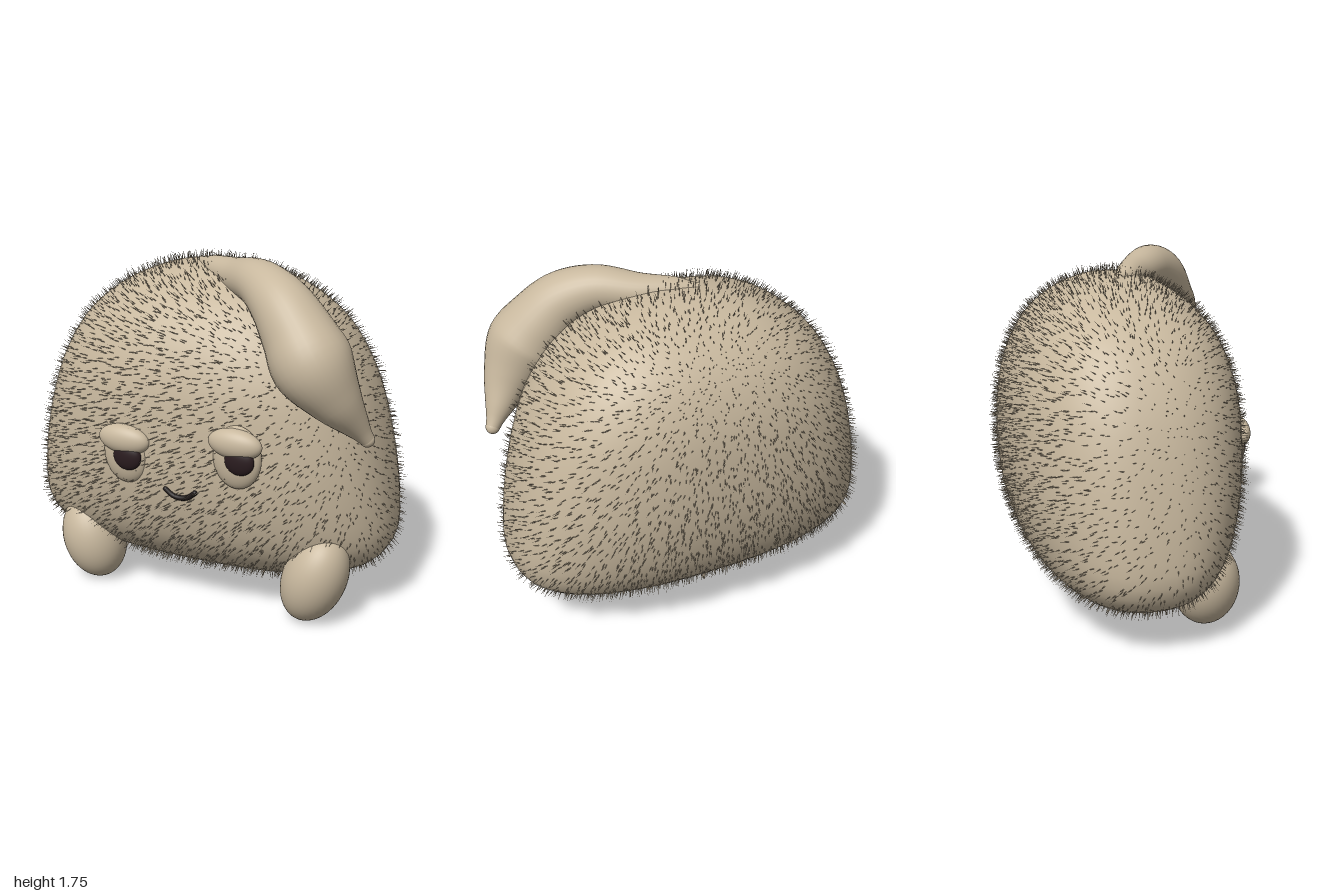
import * as THREE from 'three';
import { mergeGeometries, mergeVertices } from 'three/addons/utils/BufferGeometryUtils.js';

const mat = (name, color) => {
  const m = new THREE.MeshStandardMaterial({ color });
  m.name = name;
  return m;
};

// Small seeded random generator
function makeRandom(seed) {
  return () => {
    seed = (seed * 1664525 + 1013904223) % 4294967296;
    return seed / 4294967296;
  };
}

// Weld seams and give smooth normals
function smooth(geometry) {
  geometry.deleteAttribute('uv');
  geometry.deleteAttribute('normal');
  const g = mergeVertices(geometry, 1e-4);
  g.computeVertexNormals();
  return g;
}

// Body: stacked rounded-oval rings following half-width, height, half-depth
function bodyGeometry() {
  const profile = new THREE.CatmullRomCurve3([
    [0, 1.675, 0], [0.13, 1.67, 0.09], [0.29, 1.635, 0.2], [0.48, 1.55, 0.34], [0.66, 1.4, 0.47],
    [0.785, 1.2, 0.55], [0.86, 1.0, 0.578], [0.92, 0.75, 0.578], [0.95, 0.55, 0.548],
    [0.957, 0.4, 0.5], [0.925, 0.31, 0.445], [0.85, 0.24, 0.375], [0.7, 0.18, 0.28],
    [0.48, 0.14, 0.16], [0, 0.125, 0],
  ].map((p) => new THREE.Vector3(...p)));
  const cols = 72, rows = 48;
  const g = new THREE.SphereGeometry(1, cols, rows);
  const pos = g.attributes.position;
  const round = (v) => Math.sign(v) * Math.abs(v) ** 0.82;
  for (let iy = 0; iy <= rows; iy++) {
    const p = profile.getPointAt(iy / rows);
    for (let ix = 0; ix <= cols; ix++) {
      const a = (ix % cols) / cols * Math.PI * 2;
      pos.setXYZ(iy * (cols + 1) + ix, -p.x * round(Math.cos(a)), p.y, p.z * round(Math.sin(a)) - 0.01);
    }
  }
  return smooth(g);
}

// Fur: thin spikes scattered by area, sparser on the flanks, leaning sideways around the body
function furGeometry(body, density) {
  const rand = makeRandom(7);
  const pos = body.attributes.position, index = body.index;
  const spike = new THREE.ConeGeometry(0.0028, 1, 3, 1, true).translate(0, 0.5, 0);
  spike.deleteAttribute('uv');
  const up = new THREE.Vector3(0, 1, 0);
  const tri = new THREE.Triangle(), n = new THREE.Vector3(), dir = new THREE.Vector3();
  const at = new THREE.Vector3(), q = new THREE.Quaternion(), m = new THREE.Matrix4();
  const hairs = [];
  for (let f = 0; f < index.count; f += 3) {
    tri.setFromAttributeAndIndices(pos, index.getX(f), index.getX(f + 1), index.getX(f + 2));
    tri.getNormal(n);
    const count = Math.floor(tri.getArea() * density * (1 - 0.5 * Math.abs(n.x)) + rand());
    for (let i = 0; i < count; i++) {
      let u = rand(), v = rand();
      if (u + v > 1) { u = 1 - u; v = 1 - v; }
      at.set(0, 0, 0).addScaledVector(tri.a, u).addScaledVector(tri.b, v).addScaledVector(tri.c, 1 - u - v);
      dir.set(-n.z, -0.1, n.x).multiplyScalar(0.55).add(n);
      dir.x += (rand() - 0.5) * 0.4;
      dir.y += (rand() - 0.5) * 0.4;
      dir.z += (rand() - 0.5) * 0.4;
      q.setFromUnitVectors(up, dir.normalize());
      at.addScaledVector(n, -0.004);
      m.compose(at, q, new THREE.Vector3(1, 0.035 + rand() * 0.02, 1));
      hairs.push(spike.clone().applyMatrix4(m));
    }
  }
  return mergeGeometries(hairs);
}

// Drooping horn: a tube whose radius swells and tapers; each row is x, y, z, radius
function hornGeometry() {
  const rows = [
    [-0.1, 1.665, -0.01, 0.02], [0.0, 1.65, 0.05, 0.06], [0.16, 1.64, 0.13, 0.088],
    [0.34, 1.64, 0.25, 0.115], [0.48, 1.57, 0.335, 0.145], [0.58, 1.46, 0.38, 0.17],
    [0.67, 1.33, 0.41, 0.19], [0.77, 1.18, 0.385, 0.13], [0.85, 1.055, 0.33, 0.07],
    [0.9, 0.975, 0.295, 0.036],
  ];
  const path = new THREE.CatmullRomCurve3(rows.map((r) => new THREE.Vector3(r[0], r[1], r[2])));
  const radii = new THREE.SplineCurve(rows.map((r, i) => new THREE.Vector2(i, r[3])));
  const rings = 48, sides = 32;
  const g = new THREE.TubeGeometry(path, rings, 1, sides, false);
  const pos = g.attributes.position, v = new THREE.Vector3();
  for (let i = 0; i <= rings; i++) {
    const center = path.getPointAt(i / rings);
    const r = radii.getPoint(path.getUtoTmapping(i / rings)).y;
    for (let j = 0; j <= sides; j++) {
      const k = i * (sides + 1) + j;
      v.fromBufferAttribute(pos, k).sub(center).multiplyScalar(r).add(center);
      pos.setXYZ(k, v.x, v.y, v.z);
    }
  }
  return smooth(g);
}

export function createModel() {
  const model = new THREE.Group();
  model.name = 'furryCreature';
  const skin = mat('tan', 0xc8b89e);
  const pupil = mat('pupilDark', 0x2a1c1f);
  const lip = mat('mouthDark', 0x1f1918);

  const add = (name, geometry, material, parent = model) => {
    const mesh = new THREE.Mesh(geometry, material);
    mesh.name = name;
    parent.add(mesh);
    return mesh;
  };
  const ball = new THREE.SphereGeometry(1, 40, 28);
  const ellipsoid = (name, material, position, radii, tilt = 0, parent = model) => {
    const mesh = add(name, ball, material, parent);
    mesh.position.set(...position);
    mesh.scale.set(...radii);
    mesh.rotation.z = tilt;
  };

  // Body and fur
  const body = bodyGeometry();
  add('body', body, skin);
  add('fur', furGeometry(body, 1050), skin);

  // Horn with a rounded tip
  add('horn', hornGeometry(), skin);
  ellipsoid('hornTip', skin, [0.9, 0.975, 0.295], [0.036, 0.036, 0.036]);

  // Feet
  ellipsoid('rightFoot', skin, [-0.56, 0.227, 0.32], [0.162, 0.222, 0.165], 0.3);
  ellipsoid('leftFoot', skin, [0.67, 0.24, 0.317], [0.157, 0.24, 0.165], -0.35);

  // Eyes: eyeball, pupil and heavy lid
  for (const [side, x, y, px, py] of [
    ['right', -0.225, 0.82, -0.2, 0.815],
    ['left', 0.357, 0.885, 0.388, 0.885],
  ]) {
    const eye = new THREE.Group();
    eye.name = side + 'Eye';
    model.add(eye);
    ellipsoid('eyeball', skin, [x, y, 0.545], [0.122, 0.155, 0.055], 0, eye);
    ellipsoid('pupil', pupil, [px, py, 0.59], [0.074, 0.068, 0.03], 0, eye);
    ellipsoid('eyelid', skin, [x, y + 0.075, 0.57], [0.135, 0.073, 0.057], -0.04, eye);
  }

  // Mouth
  const smile = new THREE.CatmullRomCurve3([
    [-0.01, 0.67, 0.56], [0.025, 0.645, 0.56], [0.064, 0.637, 0.56], [0.105, 0.645, 0.56], [0.145, 0.675, 0.56],
  ].map((p) => new THREE.Vector3(...p)));
  add('mouth', new THREE.TubeGeometry(smile, 24, 0.013, 10), lip);
  for (const t of [0, 1]) {
    ellipsoid('mouthCorner', lip, smile.getPoint(t).toArray(), [0.013, 0.013, 0.013]);
  }
  return model;
}
